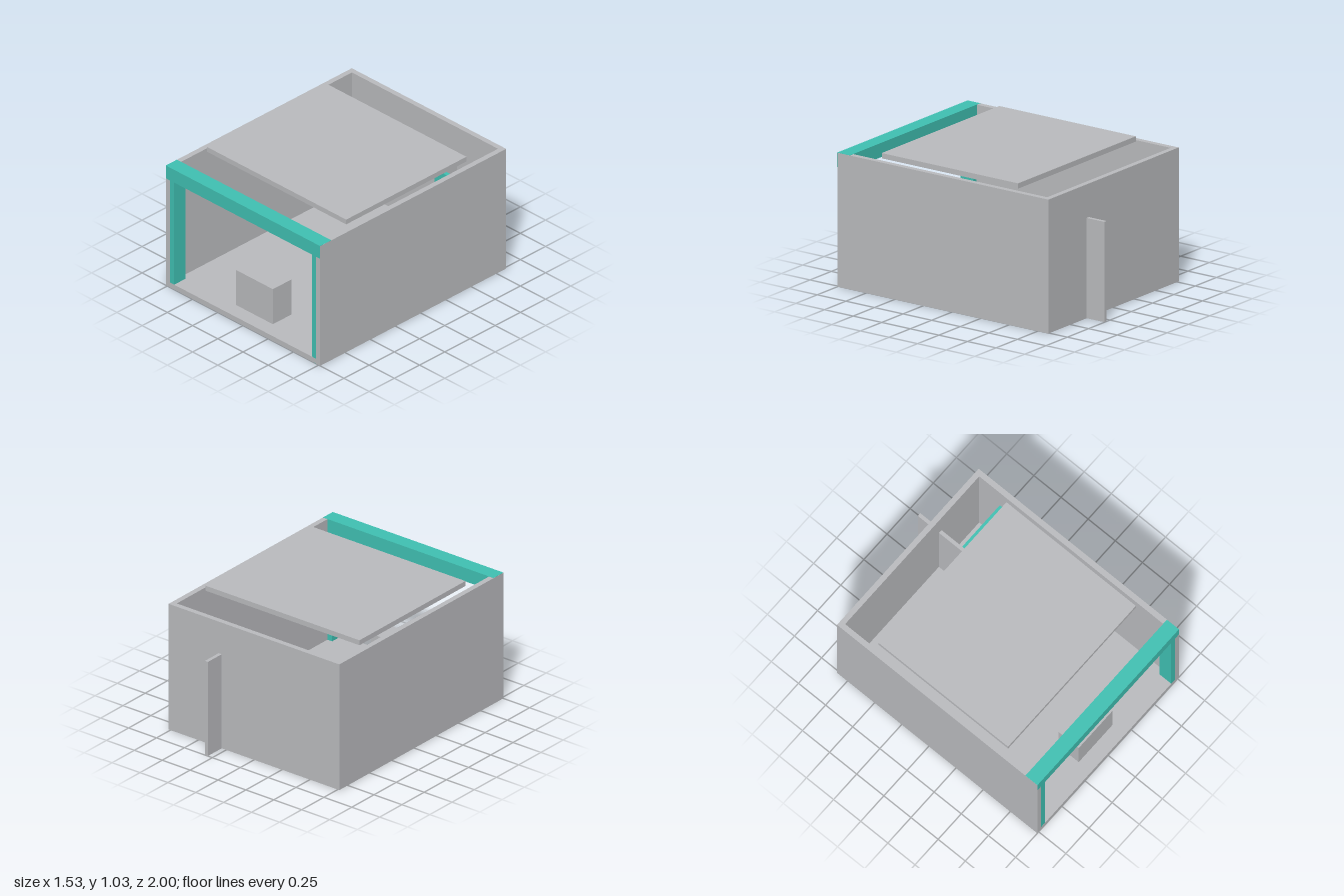
import * as THREE from 'three';

export function createModel() {
  const model = new THREE.Group();
  model.name = 'garageRoom';

  const grey = new THREE.MeshStandardMaterial({ color: 0xbbbcbf });
  grey.name = 'plaster grey';
  const teal = new THREE.MeshStandardMaterial({ color: 0x40c1b3 });
  teal.name = 'trim teal';

  // Box given by its lower and upper limits on each axis
  const block = (name, material, [x0, x1], [y0, y1], [z0, z1]) => {
    const mesh = new THREE.Mesh(new THREE.BoxGeometry(x1 - x0, y1 - y0, z1 - z0), material);
    mesh.position.set((x0 + x1) / 2, (y0 + y1) / 2, (z0 + z1) / 2);
    mesh.name = name;
    model.add(mesh);
  };

  const W = 0.765, inner = 0.724, top = 0.984, back = -0.845, floorTop = 0.04;

  // Shell: floor, back wall and side walls, open at the front and top
  block('floor', grey, [-W, W], [0, floorTop], [back, 1]);
  block('backWall', grey, [-inner, inner], [floorTop, top], [back, back + 0.04]);
  block('leftWall', grey, [inner, W], [floorTop, top], [back, 1]);
  block('rightWall', grey, [-W, -inner], [floorTop, top], [back, 1]);

  // Front portal: header slightly proud of the walls, with a post at each side
  block('header', teal, [-W + 0.0005, W - 0.0005], [0.88, top + 0.001], [0.89, 1.0008]);
  block('leftPost', teal, [0.682, inner - 0.001], [-0.0008, 0.88], [0.89, 0.9995]);
  block('rightPost', teal, [-inner + 0.001, -0.682], [-0.0008, 0.88], [0.89, 0.9995]);

  // Raised roof panel
  block('roofPanel', grey, [-0.69, 0.69], [0.986, 1.025], [-0.525, 0.667]);

  // Corner closet: teal partition, and a fin that runs out through the back wall
  block('partition', teal, [0.316, inner - 0.001], [-0.0008, 0.737], [-0.614, -0.584]);
  block('fin', grey, [0.289, 0.316], [0.0005, 0.737], [-1, -0.584]);

  // Low chest near the opening
  block('chest', grey, [-0.184, 0.182], [floorTop - 0.005, 0.328], [0.702, 0.886]);

  return model;
}
